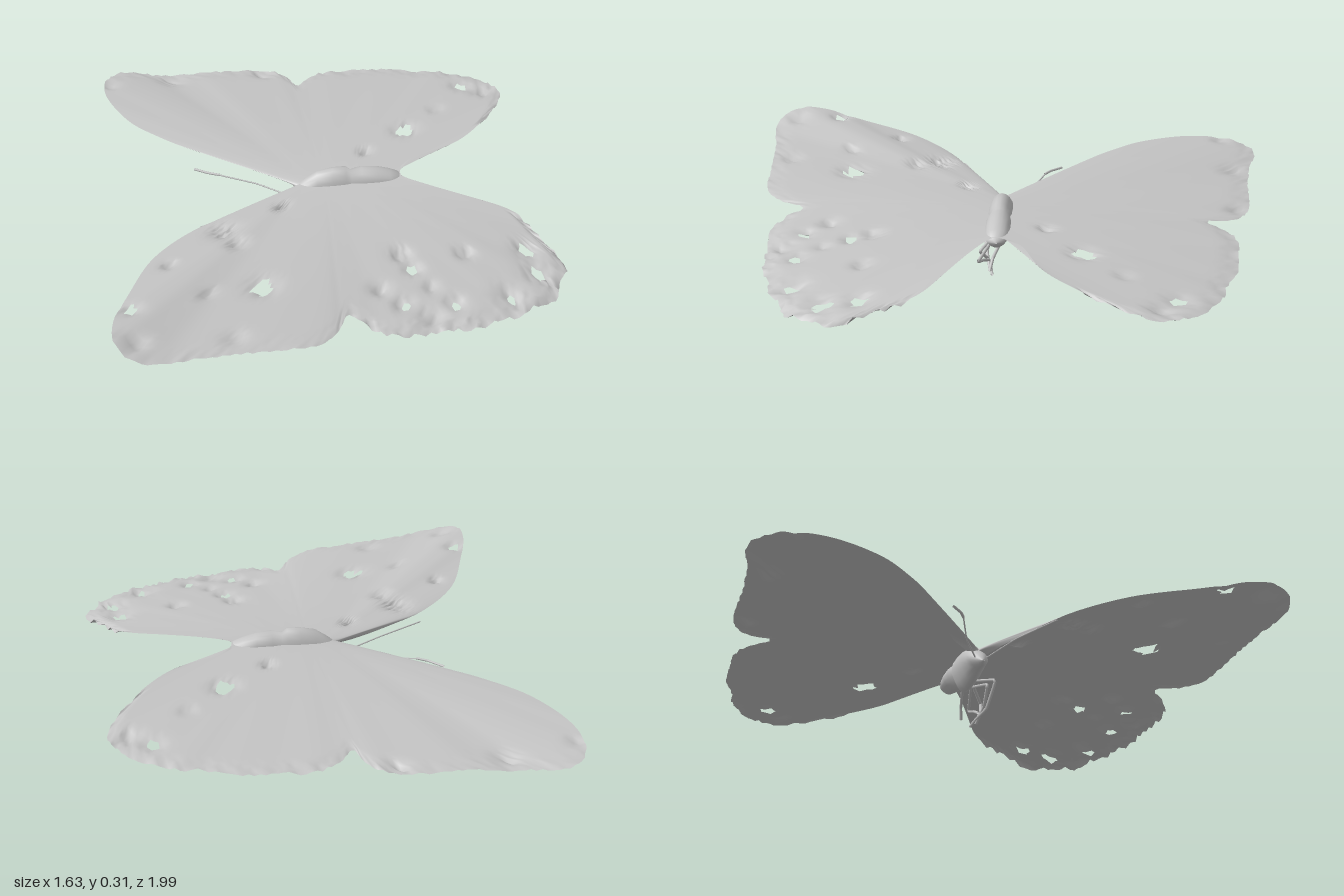
import * as THREE from 'three';

const grey = new THREE.MeshStandardMaterial({ color: 0xc4c4c4, side: THREE.DoubleSide });
grey.name = 'wingGrey';

// Wing outlines from front root, round the tip and notch, to the rear root: x, z, height
const leftOutline = [
  [-0.12, 0.03, 0.222], [-0.2, 0.06, 0.224], [-0.34, 0.13, 0.23], [-0.5, 0.225, 0.24], [-0.66, 0.4, 0.255],
  [-0.76, 0.64, 0.278], [-0.81, 0.8, 0.302], [-0.81, 0.92, 0.307], [-0.77, 0.975, 0.29], [-0.68, 0.995, 0.266],
  [-0.55, 0.97, 0.256], [-0.4, 0.955, 0.25], [-0.3, 0.945, 0.246], [-0.15, 0.93, 0.235], [-0.08, 0.88, 0.23],
  [-0.045, 0.83, 0.227], [-0.01, 0.765, 0.228], [0.04, 0.81, 0.218], [0.1, 0.86, 0.206], [0.2, 0.865, 0.2],
  [0.33, 0.85, 0.192], [0.45, 0.84, 0.188], [0.53, 0.8, 0.188], [0.6, 0.79, 0.186], [0.66, 0.74, 0.186],
  [0.75, 0.7, 0.183], [0.77, 0.62, 0.185], [0.815, 0.545, 0.188], [0.75, 0.38, 0.21], [0.68, 0.25, 0.232],
  [0.48, 0.135, 0.255], [0.35, 0.07, 0.265], [0.29, 0.03, 0.268],
];
const rightOutline = [
  [-0.12, -0.05, 0.225], [-0.2, -0.135, 0.232], [-0.34, -0.215, 0.238], [-0.5, -0.315, 0.24], [-0.62, -0.425, 0.238],
  [-0.71, -0.53, 0.235], [-0.79, -0.7, 0.23], [-0.815, -0.82, 0.222], [-0.805, -0.92, 0.215], [-0.76, -0.985, 0.205],
  [-0.7, -1, 0.197], [-0.6, -0.975, 0.19], [-0.5, -0.965, 0.192], [-0.4, -0.955, 0.2], [-0.28, -0.955, 0.2],
  [-0.2, -0.95, 0.2], [-0.1, -0.92, 0.204], [-0.05, -0.86, 0.208], [-0.02, -0.78, 0.216], [0.03, -0.84, 0.21],
  [0.12, -0.89, 0.208], [0.25, -0.885, 0.208], [0.4, -0.87, 0.212], [0.5, -0.83, 0.216], [0.58, -0.82, 0.22],
  [0.65, -0.78, 0.224], [0.73, -0.73, 0.23], [0.8, -0.6, 0.24], [0.773, -0.5, 0.248], [0.68, -0.345, 0.26],
  [0.535, -0.185, 0.27], [0.35, -0.095, 0.272], [0.29, -0.04, 0.268],
];

// Crumpled patches: x, z, patch radius, radius of the hole torn through
const leftTears = [
  [-0.29, 0.61, 0.06, 0.026], [-0.75, 0.73, 0.04, 0.014], [-0.48, 0.64, 0.03, 0], [-0.4, 0.27, 0.06, 0],
  [-0.36, 0.36, 0.04, 0], [-0.61, 0.46, 0.03, 0], [-0.18, 0.14, 0.03, 0], [-0.41, 0.88, 0.04, 0],
  [-0.74, 0.9, 0.04, 0], [0.22, 0.46, 0.04, 0], [0.25, 0.54, 0.035, 0.016], [0.19, 0.72, 0.04, 0.012],
  [0.45, 0.47, 0.035, 0], [0.12, 0.64, 0.04, 0], [0.3, 0.64, 0.03, 0], [0.37, 0.72, 0.04, 0.012],
  [0.68, 0.45, 0.05, 0.012], [0.7, 0.58, 0.06, 0.014], [0.57, 0.7, 0.06, 0.012], [0.28, 0.78, 0.05, 0],
];
const rightTears = [
  [0.36, -0.32, 0.055, 0.028], [0.65, -0.66, 0.05, 0.02], [0.51, -0.47, 0.03, 0], [0.18, -0.18, 0.03, 0],
  [-0.53, -0.9, 0.045, 0], [-0.79, -0.86, 0.03, 0], [0.73, -0.6, 0.05, 0], [-0.15, -0.9, 0.04, 0],
];

// Small seeded random generator
function seeded(seed) {
  return () => {
    seed = (seed * 16807) % 2147483647;
    return seed / 2147483647;
  };
}

// Wing sheet: a grid running from the body line out to the scalloped outline
function makeWing(name, outline, tears, flip, raggedness) {
  const cols = 200, rows = 44;
  const random = seeded(flip ? 71 : 29);
  const curve = new THREE.CatmullRomCurve3(outline.map(([x, z, y]) => new THREE.Vector3(x, y, z)));
  curve.arcLengthDivisions = 600;
  const rim = curve.getSpacedPoints(cols);
  const positions = [], indices = [];
  for (let i = 0; i <= cols; i++) {
    const u = i / cols, edge = rim[i];
    const rootX = -0.11 + 0.4 * u * u;
    const rootY = 0.232 + 0.05 * Math.sqrt(u) - 0.012 * u;
    const ragged = u > 0.3 && u < 0.88 ? (u > 0.56 ? raggedness : 0.4) : 0;
    const scallop = 1 - 0.012 * ragged * random();
    for (let j = 0; j <= rows; j++) {
      const s = j / rows, reach = s * (s > 0.95 ? scallop : 1);
      const x = THREE.MathUtils.lerp(rootX, edge.x, reach);
      const z = edge.z * reach;
      // Cambered sheet, then dents, then a crumpled outer rim
      let y = THREE.MathUtils.lerp(rootY, edge.y, Math.pow(s, 1.7));
      for (const [tx, tz, r] of tears) {
        const d = Math.hypot(x - tx, z - tz) / r;
        if (d < 2) y -= Math.exp(-d * d * 1.5) * (0.01 + 0.02 * random());
      }
      if (s > 0.92) y -= 0.022 * ragged * random() * (s - 0.92) / 0.08;
      positions.push(x, y, z);
    }
  }
  const torn = (k) => tears.some(([x, z, , hole]) => {
    const dx = positions[k * 3] - x, dz = positions[k * 3 + 2] - z;
    const angle = Math.atan2(dz, dx);
    return Math.hypot(dx, dz) < hole * (1 + 0.3 * Math.cos(3 * angle + x * 9));
  });
  for (let i = 0; i < cols; i++) {
    for (let j = 0; j < rows; j++) {
      const a = i * (rows + 1) + j, b = a + 1, c = a + rows + 1, d = c + 1;
      for (const [p, q, r] of [[a, b, c], [b, d, c]]) {
        if (torn(p) || torn(q) || torn(r)) continue;
        if (flip) indices.push(p, r, q);
        else indices.push(p, q, r);
      }
    }
  }
  return makeMesh(name, positions, indices);
}

// Smooth mesh from vertex positions and triangle indices
function makeMesh(name, positions, indices) {
  const geometry = new THREE.BufferGeometry();
  geometry.setAttribute('position', new THREE.Float32BufferAttribute(positions, 3));
  geometry.setIndex(indices);
  geometry.computeVertexNormals();
  const mesh = new THREE.Mesh(geometry, grey);
  mesh.name = name;
  return mesh;
}

// Body lofted through oval sections along x
function makeBody() {
  // x, centre height, half height, half width
  const sections = [
    [-0.17, 0.17, 0.004, 0.004], [-0.15, 0.182, 0.026, 0.024], [-0.11, 0.2, 0.04, 0.038], [-0.08, 0.21, 0.055, 0.042],
    [-0.03, 0.22, 0.08, 0.048], [0.03, 0.225, 0.088, 0.05], [0.08, 0.23, 0.084, 0.048], [0.1, 0.238, 0.06, 0.044],
    [0.14, 0.248, 0.06, 0.048], [0.2, 0.254, 0.047, 0.048], [0.25, 0.252, 0.034, 0.044], [0.285, 0.25, 0.022, 0.034],
    [0.295, 0.25, 0.003, 0.004],
  ];
  const sides = 20, positions = [], indices = [];
  sections.forEach(([x, y, h, w], i) => {
    for (let k = 0; k < sides; k++) {
      const a = (k / sides) * Math.PI * 2;
      const pinch = Math.sin(a) < 0 ? 1 + 0.3 * Math.sin(a) : 1;
      positions.push(x, y + h * Math.sin(a), w * Math.cos(a) * pinch);
      if (i === 0) continue;
      const n = (k + 1) % sides, r0 = (i - 1) * sides, r1 = i * sides;
      indices.push(r0 + k, r0 + n, r1 + k, r0 + n, r1 + n, r1 + k);
    }
  });
  return makeMesh('body', positions, indices);
}

// Thin limb along a bent path
function makeLimb(name, points, radius) {
  const path = new THREE.CatmullRomCurve3(points.map((p) => new THREE.Vector3(...p)), false, 'catmullrom', 0.1);
  const mesh = new THREE.Mesh(new THREE.TubeGeometry(path, 24, radius, 6), grey);
  mesh.name = name;
  return mesh;
}

export function createModel() {
  const model = new THREE.Group();
  model.name = 'butterfly';
  model.add(makeBody());
  model.add(makeWing('leftWings', leftOutline, leftTears, false, 1));
  model.add(makeWing('rightWings', rightOutline, rightTears, true, 0.6));

  // Antennae
  model.add(makeLimb('leftAntenna', [[-0.13, 0.19, 0.01], [-0.3, 0.21, 0.085], [-0.48, 0.215, 0.18]], 0.003));
  model.add(makeLimb('rightAntenna', [[-0.13, 0.19, -0.015], [-0.25, 0.205, -0.09], [-0.4, 0.22, -0.15]], 0.003));
  model.add(makeLimb('rightAntennaClub', [[-0.39, 0.22, -0.146], [-0.43, 0.217, -0.168], [-0.48, 0.21, -0.21]], 0.005));

  // Folded legs below the thorax
  const legs = [
    [[-0.03, 0.15, 0.02], [-0.1, 0.128, 0.07], [-0.02, 0.045, 0.06], [0.03, 0.025, 0.04], [0.09, 0.012, 0.03]],
    [[0.03, 0.15, 0.02], [-0.06, 0.125, 0.05], [0.0, 0.06, 0.055], [0.05, 0.007, 0.04]],
    [[0.04, 0.15, 0.03], [0.1, 0.115, 0.075], [0.02, 0.045, 0.05]],
    [[0.05, 0.16, 0.02], [0.24, 0.145, 0.07], [0.14, 0.1, 0.06], [0.04, 0.05, 0.045]],
    [[0.06, 0.16, -0.01], [0.18, 0.13, 0.02], [0.21, 0.09, 0.03]],
  ];
  legs.forEach((points, i) => model.add(makeLimb('leg' + (i + 1), points, 0.006)));
  return model;
}
